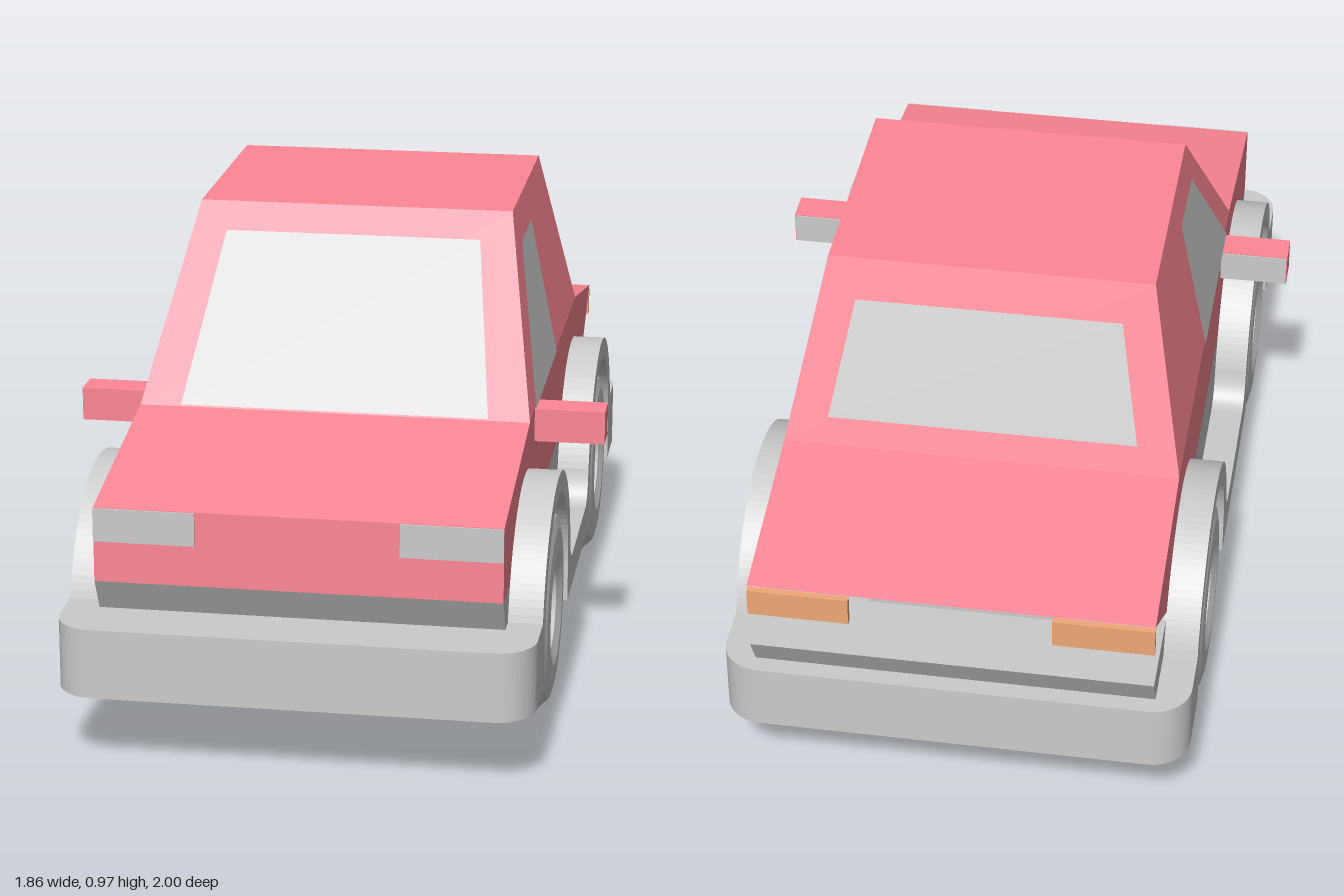
import * as THREE from 'three';

const paint = new THREE.MeshStandardMaterial({ color: 0xff8896 });
const grey = new THREE.MeshStandardMaterial({ color: 0xcccccc });
const amber = new THREE.MeshStandardMaterial({ color: 0xf0a878 });

const HALF = 0.41;      // half width of the body
const TRIM = 0.48;      // half width of bumpers and arches
const AXLE = 0.49;      // axle distance from the middle
const HUB_Y = 0.23;

function add(parent, name, geometry, material) {
  const mesh = new THREE.Mesh(geometry, material);
  mesh.name = name;
  parent.add(mesh);
  return mesh;
}

function box(x0, x1, y0, y1, z0, z1) {
  return new THREE.BoxGeometry(x1 - x0, y1 - y0, z1 - z0)
    .translate((x0 + x1) / 2, (y0 + y1) / 2, (z0 + z1) / 2);
}

function polygon(points) {
  return new THREE.Shape(points.map(([a, b]) => new THREE.Vector2(a, b)));
}

// Extrude a side profile (z, y) across the car from x0 to x1
function across(shape, x0, x1) {
  return new THREE.ExtrudeGeometry(shape, { depth: x1 - x0, bevelEnabled: false, curveSegments: 24 })
    .rotateY(-Math.PI / 2).translate(x1, 0, 0);
}

// Flat four-cornered panels, corners anticlockwise from outside, lifted along the normal
function panels(quads, lift = 0) {
  const pos = [];
  for (const q of quads) {
    const v = q.map((p) => new THREE.Vector3(...p));
    const n = v[1].clone().sub(v[0]).cross(v[2].clone().sub(v[0])).setLength(lift || 1);
    if (lift) v.forEach((p) => p.add(n));
    for (const i of [0, 1, 2, 0, 2, 3]) pos.push(v[i].x, v[i].y, v[i].z);
  }
  const g = new THREE.BufferGeometry();
  g.setAttribute('position', new THREE.Float32BufferAttribute(pos, 3));
  g.computeVertexNormals();
  return g;
}

// Side profile of the sill with both wheel arches
function archShape() {
  const s = new THREE.Shape();
  const inner = 0.24, outer = 0.288, base = 0.155, sill = 0.226, end = 0.775;
  s.moveTo(-end, base);
  for (const c of [-AXLE, AXLE]) {
    s.lineTo(c - inner, base);
    s.lineTo(c - inner, HUB_Y);
    s.absarc(c, HUB_Y, inner, Math.PI, 0, true);
    s.lineTo(c + inner, base);
  }
  s.lineTo(end, base);
  s.lineTo(end, 0.3);
  s.absarc(AXLE, sill, outer, 0.26, Math.PI - 0.25, false);
  s.quadraticCurveTo(0.2, sill, 0.15, sill);
  s.lineTo(-0.15, sill);
  s.quadraticCurveTo(-0.2, sill, -AXLE + outer * Math.cos(0.25), sill + outer * Math.sin(0.25));
  s.absarc(-AXLE, sill, outer, 0.25, Math.PI - 0.26, false);
  s.lineTo(-end, 0.3);
  return s;
}

// Bumper plan with two rounded outer corners
function bumperGeometry() {
  const r = 0.08, end = 0.94;
  const s = new THREE.Shape();
  s.moveTo(TRIM, -0.775);
  s.lineTo(-TRIM, -0.775);
  s.absarc(-TRIM + r, -end + r, r, Math.PI, Math.PI * 1.5, false);
  s.absarc(TRIM - r, -end + r, r, Math.PI * 1.5, Math.PI * 2, false);
  return new THREE.ExtrudeGeometry(s, { depth: 0.145, bevelEnabled: false, curveSegments: 8 })
    .rotateX(-Math.PI / 2).translate(0, 0.155, 0);
}

// Painted lower body, cut out around the wheels
function bodyShape() {
  const s = new THREE.Shape();
  const r = 0.26, a = Math.asin((0.37 - HUB_Y) / r);
  s.moveTo(-0.94, 0.37);
  for (const c of [-AXLE, AXLE]) s.absarc(c, HUB_Y, r, Math.PI - a, a, true);
  for (const [z, y] of [[0.85, 0.37], [0.85, 0.525], [0.405, 0.6], [-0.563, 0.6], [-0.94, 0.525]]) s.lineTo(z, y);
  return s;
}

// Wheel along +x with a bevelled tyre and a recessed hub
function wheelGroup() {
  const wheel = new THREE.Group();
  const turn = (profile) => {
    const parts = [];
    for (const [r, x] of profile) parts.push(new THREE.Vector2(r, x));
    const g = new THREE.LatheGeometry(parts, 32).toNonIndexed();
    g.rotateZ(-Math.PI / 2);
    return g;
  };
  // One lathe per band keeps the edges between bands sharp
  const bands = (name, p) => {
    for (let i = 0; i + 1 < p.length; i++) add(wheel, name, turn([p[i], p[i + 1]]), grey);
  };
  bands('tyre', [[0, 0.27], [0.23, 0.27], [0.23, 0.43], [0.19, 0.472], [0.165, 0.478]]);
  bands('rim', [[0.165, 0.478], [0.12, 0.48], [0.09, 0.47], [0.075, 0.435], [0, 0.435]]);
  return wheel;
}

export function createModel() {
  const model = new THREE.Group();
  const car = new THREE.Group();
  car.name = 'car';
  car.rotation.y = THREE.MathUtils.degToRad(38.5);
  model.add(car);

  // Body and lower skirts
  add(car, 'body', across(bodyShape(), -HALF, HALF), paint);
  add(car, 'frontSkirt', across(polygon([[0.725, 0.29], [0.806, 0.29], [0.85, 0.37], [0.725, 0.37]]), -HALF, HALF), grey);
  add(car, 'rearSkirt', across(polygon([[-0.896, 0.29], [-0.725, 0.29], [-0.725, 0.37], [-0.94, 0.37]]), -HALF, HALF), grey);
  add(car, 'middleSkirt', box(-HALF, HALF, 0.2, 0.37, -0.245, 0.245), grey);

  // Underbody, bumpers and arches
  add(car, 'floor', box(-0.2, 0.2, 0.155, 0.47, -0.775, 0.775), grey);
  add(car, 'frontBumper', bumperGeometry(), grey);
  add(car, 'rearBumper', bumperGeometry().rotateY(Math.PI), grey);
  add(car, 'leftArches', across(archShape(), 0.2, TRIM), grey);
  add(car, 'rightArches', across(archShape(), -TRIM, -0.2), grey);

  // Cabin, tapering from the beltline to the roof
  const bw = HALF, rw = 0.335, by = 0.6, ry = 0.97;
  const bf = 0.405, rf = 0.103, bb = -0.563, rb = -0.413;
  add(car, 'cabin', panels([
    [[-bw, by, bf], [bw, by, bf], [rw, ry, rf], [-rw, ry, rf]],
    [[bw, by, bb], [-bw, by, bb], [-rw, ry, rb], [rw, ry, rb]],
    [[bw, by, bf], [bw, by, bb], [rw, ry, rb], [rw, ry, rf]],
    [[-bw, by, bb], [-bw, by, bf], [-rw, ry, rf], [-rw, ry, rb]],
    [[-rw, ry, rf], [rw, ry, rf], [rw, ry, rb], [-rw, ry, rb]],
  ]), paint);

  // Windows lie on the cabin planes
  const at = (a, b, y) => a + (b - a) * (y - by) / (ry - by);
  const front = (x, y) => [x, y, at(bf, rf, y)];
  const back = (x, y) => [x, y, at(bb, rb, y)];
  const side = (s, y, z) => [s * at(bw, rw, y), y, z];
  const lift = 0.004;
  add(car, 'windscreen', panels([[front(-0.323, 0.602), front(0.323, 0.602), front(0.272, 0.915), front(-0.272, 0.915)]], lift), grey);
  add(car, 'rearWindow', panels([[back(0.32, 0.655), back(-0.32, 0.655), back(-0.274, 0.89), back(0.274, 0.89)]], lift), grey);
  const glass = [[0.602, 0.315], [0.602, -0.105], [0.9, -0.105], [0.9, 0.077]];
  add(car, 'leftWindow', panels([glass.map(([y, z]) => side(1, y, z))], lift), grey);
  add(car, 'rightWindow', panels([glass.map(([y, z]) => side(-1, y, z)).reverse()], lift), grey);

  // Paired parts
  for (const s of [1, -1]) {
    const label = s > 0 ? 'left' : 'right';
    const span = (a, b, ...rest) => (s > 0 ? box(a, b, ...rest) : box(-b, -a, ...rest));
    add(car, label + 'Headlight', span(0.205, HALF, 0.455, 0.524, 0.84, 0.854), grey);
    add(car, label + 'TailLight', span(0.205, HALF, 0.455, 0.515, -0.944, -0.93), amber);
    add(car, label + 'Mirror', span(0.37, 0.557, 0.53, 0.6, 0.242, 0.311), paint);
    add(car, label + 'MirrorGlass', span(HALF, 0.555, 0.532, 0.598, 0.239, 0.245), grey);
    for (const z of [AXLE, -AXLE]) {
      const wheel = wheelGroup();
      wheel.name = label + (z > 0 ? 'FrontWheel' : 'RearWheel');
      wheel.position.set(0, HUB_Y, z);
      if (s < 0) wheel.rotation.y = Math.PI;
      car.add(wheel);
    }
  }
  return model;
}
